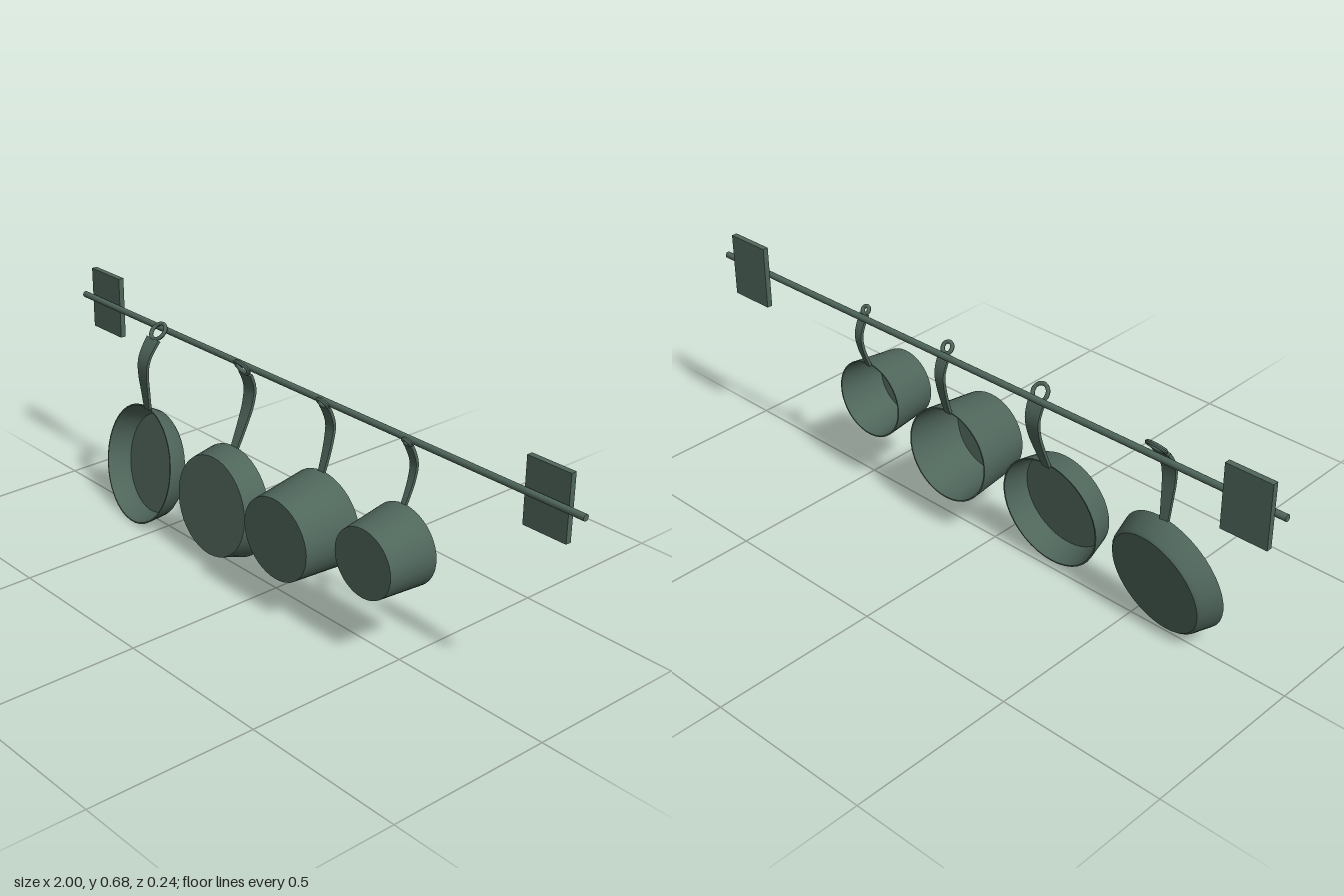
import * as THREE from 'three';
import { toCreasedNormals } from 'three/addons/utils/BufferGeometryUtils.js';

const castMetal = new THREE.MeshStandardMaterial({ color: 0x4f665b });
castMetal.name = 'castMetal';
const deg = Math.PI / 180;

function part(name, geometry) {
  const mesh = new THREE.Mesh(geometry, castMetal);
  mesh.name = name;
  return mesh;
}

// Hollow tapered pan; its origin is the rim centre, opening to the front or the back
function panBody({ rim, base, depth, opensForward, round = 0 }) {
  const wall = 0.004;
  const profile = [
    [0, 0], [base - round, 0], [base, round],
    [rim, depth], [rim - wall, depth],
    [base - wall, round + wall], [base - wall - round, wall], [0, wall],
  ].filter((p, i) => round > 0 || (i !== 2 && i !== 6));
  const lathe = new THREE.LatheGeometry(profile.map(([r, y]) => new THREE.Vector2(r, y)), 40);
  const geometry = toCreasedNormals(lathe, 35 * deg);
  geometry.translate(0, -depth, 0);
  geometry.rotateX(opensForward ? Math.PI / 2 : -Math.PI / 2);
  return part('panBody', geometry);
}

// Lay a geometry along a curve: x stays sideways, y runs along it, z is its thickness
function bend(geometry, curve, length) {
  const pos = geometry.attributes.position;
  const side = new THREE.Vector3(1, 0, 0);
  for (let i = 0; i < pos.count; i++) {
    const u = THREE.MathUtils.clamp(pos.getY(i) / length, 0, 1);
    const p = curve.getPointAt(u);
    const normal = side.clone().cross(curve.getTangentAt(u)).normalize();
    p.addScaledVector(side, pos.getX(i)).addScaledVector(normal, pos.getZ(i));
    pos.setXYZ(i, p.x, p.y, p.z);
  }
  geometry.computeVertexNormals();
  return geometry;
}

// Curved flat grip that widens upward and ends in a hanging ring
function handle(path, x0, x1, narrow, wide) {
  const n = path.length - 1;
  const curve = new THREE.CatmullRomCurve3(path.map(([y, z], i) =>
    new THREE.Vector3(x0 + (x1 - x0) * i / n, y, z)));
  const length = curve.getLength();
  const tube = 0.006;
  const radius = wide / 2 - tube;
  const gripLength = length - 2 * radius - tube;

  const grip = new THREE.BoxGeometry(1, 1, 0.009, 1, 14, 1);
  const pos = grip.attributes.position;
  for (let i = 0; i < pos.count; i++) {
    const t = pos.getY(i) + 0.5;
    pos.setXYZ(i, pos.getX(i) * (narrow + (wide * 0.88 - narrow) * t), t * gripLength, pos.getZ(i));
  }
  const ring = new THREE.TorusGeometry(radius, tube, 8, 24);
  ring.translate(0, length - radius - tube, 0);

  const group = new THREE.Group();
  group.name = 'handle';
  group.add(part('grip', bend(grip, curve, length)));
  group.add(part('hangingRing', bend(ring, curve, length)));
  return group;
}

// Handle paths are [y, z] points from the rim to the tip
const pans = [
  { name: 'fryingPan', at: [-0.605, 0.183, 0.03], tilt: -12, yaw: -6.5,
    rim: 0.182, base: 0.163, depth: 0.068, opensForward: true, round: 0.008,
    path: [[0.355, -0.008], [0.42, 0], [0.47, 0.006], [0.515, 0.003], [0.565, -0.025], [0.617, -0.072]],
    x0: -0.598, x1: -0.59, narrow: 0.026, wide: 0.064 },
  { name: 'shallowPan', at: [-0.213, 0.196, -0.014], tilt: -4.5, yaw: 0,
    rim: 0.168, base: 0.15, depth: 0.076,
    path: [[0.355, -0.026], [0.42, -0.055], [0.48, -0.078], [0.53, -0.085], [0.575, -0.07], [0.622, -0.04]],
    x0: -0.213, x1: -0.213, narrow: 0.026, wide: 0.06 },
  { name: 'deepPan', at: [0.124, 0.258, -0.065], tilt: 2.3, yaw: 1.5,
    rim: 0.142, base: 0.124, depth: 0.179,
    path: [[0.395, -0.058], [0.44, -0.072], [0.49, -0.084], [0.53, -0.088], [0.575, -0.073], [0.618, -0.045]],
    x0: 0.122, x1: 0.122, narrow: 0.022, wide: 0.044 },
  { name: 'smallPan', at: [0.441, 0.306, -0.06], tilt: 2, yaw: 1.4,
    rim: 0.118, base: 0.102, depth: 0.15,
    path: [[0.418, -0.056], [0.45, -0.07], [0.49, -0.084], [0.53, -0.089], [0.575, -0.073], [0.612, -0.05]],
    x0: 0.44, x1: 0.44, narrow: 0.016, wide: 0.034 },
];

export function createModel() {
  const model = new THREE.Group();
  model.name = 'hangingPanRack';

  // Wall rail with a mounting plate near each end, turned slightly as one
  const rail = new THREE.Group();
  rail.name = 'rail';
  rail.position.set(0, 0.59, -0.085);
  rail.rotation.y = 0.5 * deg;
  const rod = part('rod', new THREE.CylinderGeometry(0.0095, 0.0095, 2, 16));
  rod.rotation.z = Math.PI / 2;
  rail.add(rod);
  for (const x of [-0.9, 0.873]) {
    const plate = part('mountingPlate', new THREE.BoxGeometry(0.138, 0.188, 0.017));
    plate.position.set(x, -0.003, -0.016);
    rail.add(plate);
  }
  model.add(rail);

  // Four pans hanging in a row, from largest to smallest
  for (const pan of pans) {
    const group = new THREE.Group();
    group.name = pan.name;
    const body = panBody(pan);
    body.position.set(...pan.at);
    body.rotation.set(pan.tilt * deg, pan.yaw * deg, 0);
    group.add(body, handle(pan.path, pan.x0, pan.x1, pan.narrow, pan.wide));
    model.add(group);
  }
  return model;
}
